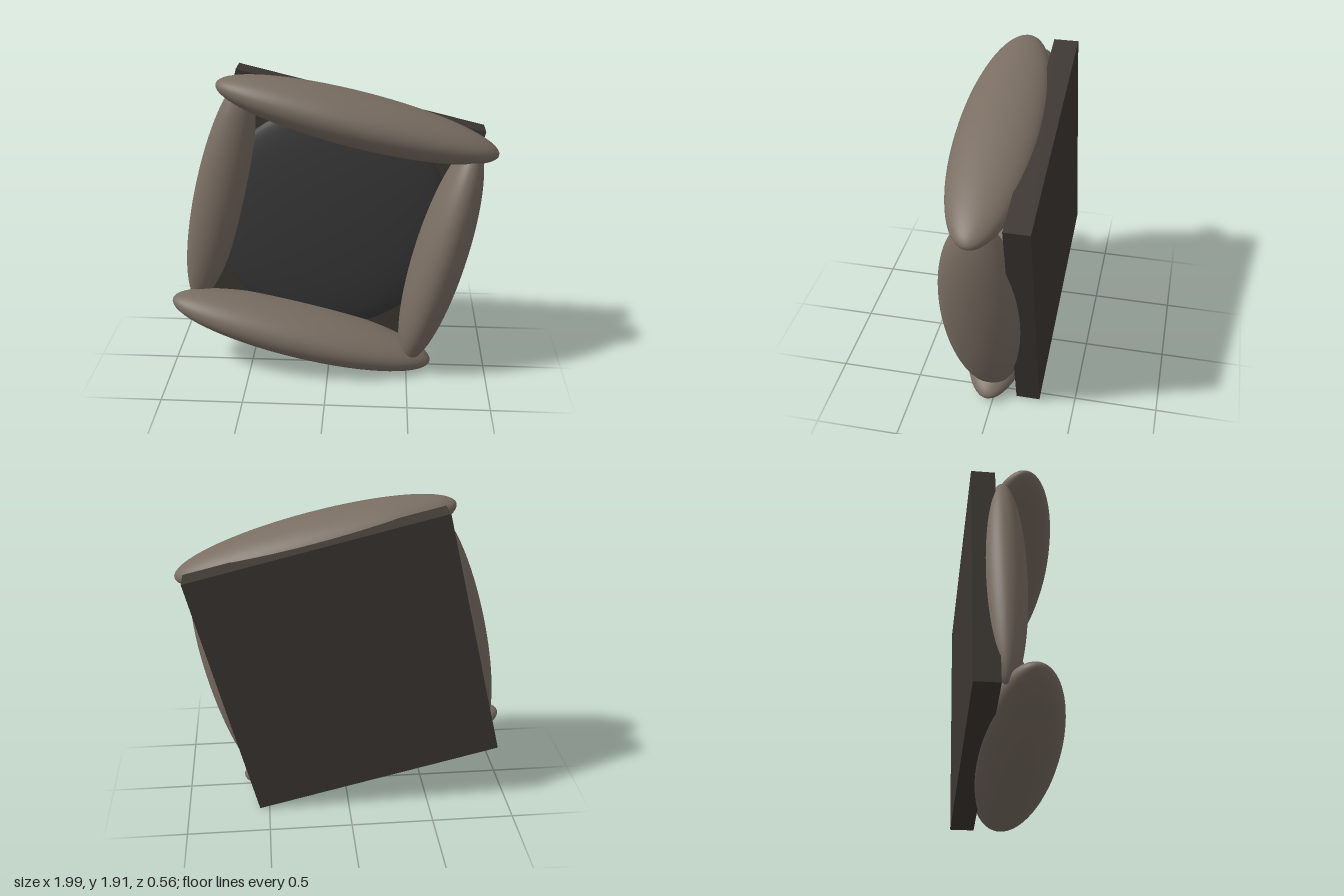
import * as THREE from 'three';

const fabric = new THREE.MeshStandardMaterial({ color: 0x7a6e63 });
const baseCloth = new THREE.MeshStandardMaterial({ color: 0x3d3732 });
const cushionCloth = new THREE.MeshStandardMaterial({ color: 0x3a3a3a });

// Ellipsoid with given half sizes, its poles along the chosen axis
function ellipsoid(name, material, half, position, poleAxis = 'y') {
  const geometry = new THREE.SphereGeometry(1, 48, 32);
  if (poleAxis === 'x') geometry.rotateZ(Math.PI / 2);
  if (poleAxis === 'z') geometry.rotateX(Math.PI / 2);
  geometry.scale(...half);
  const mesh = new THREE.Mesh(geometry, material);
  mesh.name = name;
  mesh.position.set(...position);
  return mesh;
}

export function createModel() {
  const model = new THREE.Group();
  model.name = 'cushionedBed';

  // The whole bed is modelled square, then tilted in its own plane
  const bed = new THREE.Group();
  bed.name = 'bed';
  bed.position.y = 0.955;
  bed.rotation.z = THREE.MathUtils.degToRad(-13.7);
  model.add(bed);

  // Flat base slab
  const base = new THREE.Mesh(new THREE.BoxGeometry(1.535, 1.58, 0.145), baseCloth);
  base.name = 'basePanel';
  base.position.z = -0.2125;
  bed.add(base);

  // Thin round cushion inside the rim
  bed.add(ellipsoid('innerCushion', cushionCloth, [0.74, 0.74, 0.1], [0, 0, -0.12], 'z'));

  // Long bolsters, upper and lower
  for (const [name, s] of [['upperBolster', 1], ['lowerBolster', -1]]) {
    bed.add(ellipsoid(name, fabric, [0.848, 0.153, 0.248], [0, s * 0.725, 0.03], 'x'));
  }

  // Side bolsters: a full one on the left, a low entry one on the right
  bed.add(ellipsoid('leftBolster', fabric, [0.16, 0.75, 0.25], [0.7, 0, 0.03]));
  bed.add(ellipsoid('rightEntryBolster', fabric, [0.16, 0.75, 0.125], [-0.7, 0, -0.095]));

  return model;
}
